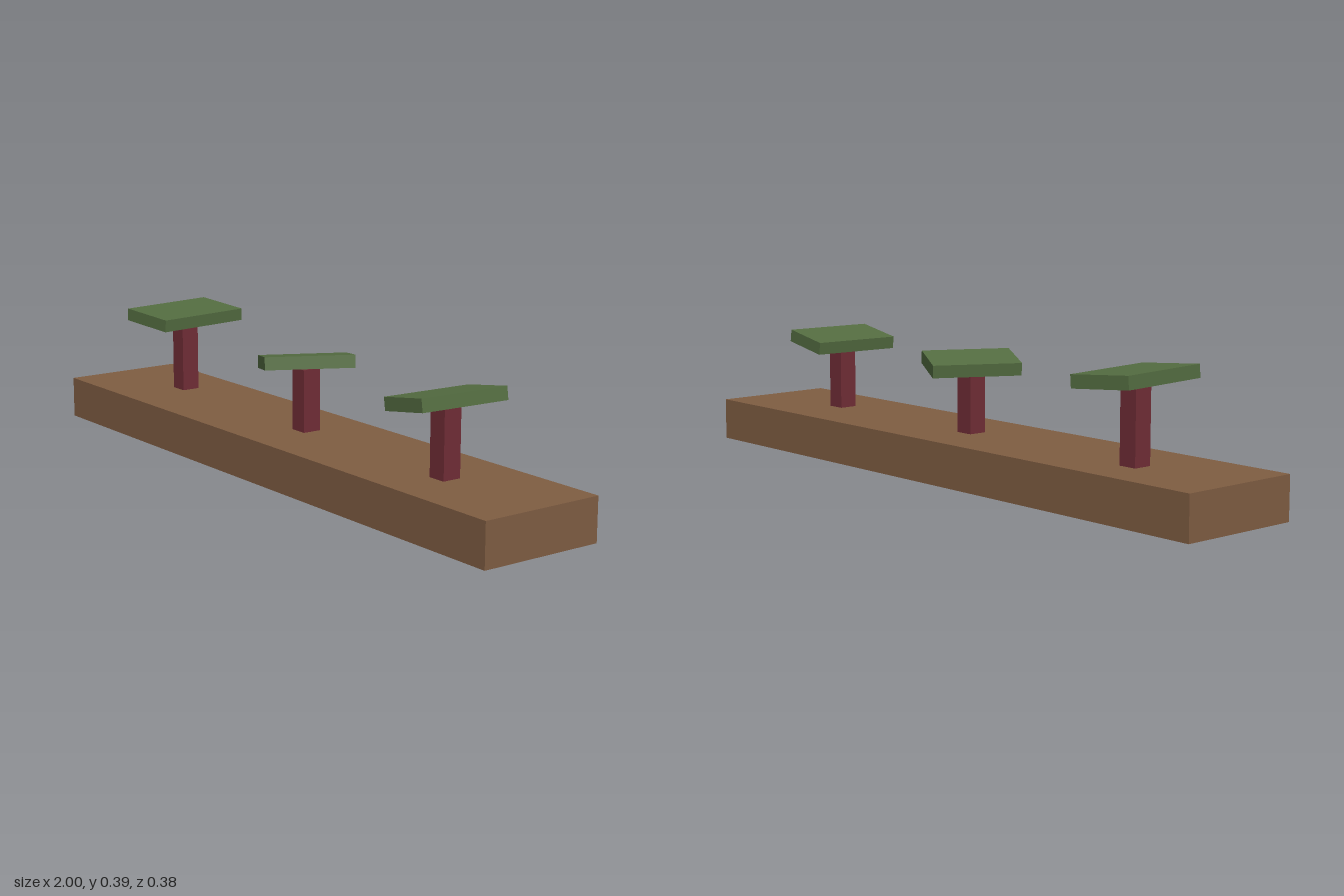
import * as THREE from 'three';

const mat = (name, color) => {
  const m = new THREE.MeshStandardMaterial({ color, side: THREE.DoubleSide });
  m.name = name;
  return m;
};

// Thin box shell with an open underside
function openBox(w, h, d) {
  const g = new THREE.BoxGeometry(w, h, d);
  const index = Array.from(g.index.array);
  index.splice(18, 6); // drop the bottom face
  g.setIndex(index);
  g.clearGroups();
  return g;
}

export function createModel() {
  const soil = mat('soil brown', 0x7f5d42);
  const bark = mat('trunk red', 0x702d36);
  const leaf = mat('canopy green', 0x546d41);
  const model = new THREE.Group();
  model.name = 'treePlanter';

  const add = (parent, name, geometry, material, x, y, z) => {
    const mesh = new THREE.Mesh(geometry, material);
    mesh.name = name;
    mesh.position.set(x, y, z);
    parent.add(mesh);
    return mesh;
  };

  // Long hollow base
  const baseTop = 0.125;
  add(model, 'base', openBox(2, baseTop, 0.377), soil, 0, baseTop / 2, 0.0045);

  // Trees: square trunk under a slab canopy, turned and tilted sideways
  const slab = 0.037;
  const trees = [
    { name: 'rightTree', x: -0.663, z: -0.024, top: 0.342, w: 0.186, d: 0.307, yaw: 6.9, tilt: -4 },
    { name: 'middleTree', x: 0.01, z: -0.001, top: 0.307, w: 0.156, d: 0.258, yaw: -27.7, tilt: 9 },
    { name: 'leftTree', x: 0.643, z: 0.017, top: 0.318, w: 0.164, d: 0.274, yaw: -3.4, tilt: 9.2 },
  ];
  for (const t of trees) {
    const tree = new THREE.Group();
    tree.name = t.name;
    tree.position.set(t.x, 0, t.z);
    const h = t.top - baseTop;
    add(tree, 'trunk', openBox(0.056, h, 0.056), bark, 0, baseTop + h / 2, 0);
    const canopy = add(tree, 'canopy', openBox(t.w, slab, t.d), leaf, 0, t.top + slab / 2, 0);
    canopy.rotation.set(0, THREE.MathUtils.degToRad(t.yaw), THREE.MathUtils.degToRad(t.tilt));
    model.add(tree);
  }
  return model;
}
